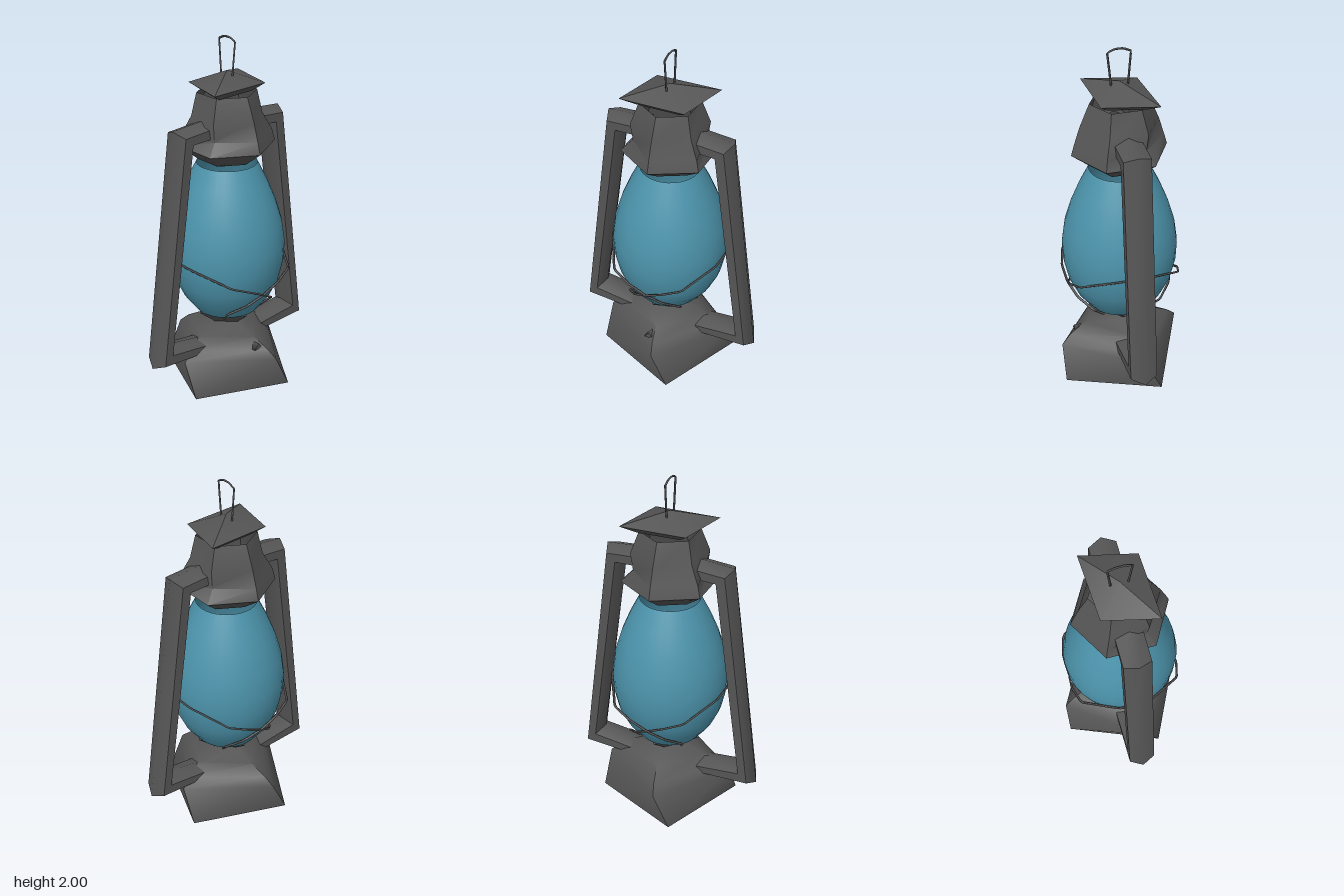
import * as THREE from 'three';
import { toCreasedNormals } from 'three/addons/utils/BufferGeometryUtils.js';

const metal = new THREE.MeshStandardMaterial({ color: 0x555555, side: THREE.DoubleSide });
const glass = new THREE.MeshStandardMaterial({ color: 0x4c93ab, side: THREE.DoubleSide });

// Horizontal ring of n corners; r may be a list of radii, a is the start angle in degrees
function ring(n, r, a, y) {
  return Array.from({ length: n }, (_, i) => {
    const t = THREE.MathUtils.degToRad(a) + (i * 2 * Math.PI) / n;
    const q = Array.isArray(r) ? r[i % r.length] : r;
    return [q * Math.cos(t), y, q * Math.sin(t)];
  });
}

// Skin between closed cross-sections with equal corner counts
function loft(rings, crease = 0.8) {
  const n = rings[0].length;
  const index = [];
  for (let i = 0; i < rings.length - 1; i++) {
    for (let j = 0; j < n; j++) {
      const k = (j + 1) % n;
      const a = i * n + j, b = i * n + k, c = a + n, d = b + n;
      index.push(a, c, b, b, c, d);
    }
  }
  const g = new THREE.BufferGeometry();
  g.setAttribute('position', new THREE.Float32BufferAttribute(rings.flat(2), 3));
  g.setIndex(index);
  return toCreasedNormals(g, crease);
}

// Thin angular wire through a list of points
function wire(points, radius) {
  const path = new THREE.CurvePath();
  const v = points.map((p) => new THREE.Vector3(...p));
  for (let i = 1; i < v.length; i++) path.add(new THREE.LineCurve3(v[i - 1], v[i]));
  return new THREE.TubeGeometry(path, (v.length - 1) * 6, radius, 4);
}

export function createModel() {
  const model = new THREE.Group();
  const add = (name, geometry, material = metal) => {
    const mesh = new THREE.Mesh(geometry, material);
    mesh.name = name;
    model.add(mesh);
    return mesh;
  };

  // Four-sided, slightly twisted fuel tank with a flared burner cup
  add('base', loft([
    ring(4, 0, 67, 0), ring(4, 0.393, 67, 0), ring(4, 0.365, 81, 0.19),
    ring(4, 0.31, 83, 0.24), ring(4, 0.22, 86, 0.29), ring(4, 0.09, 90, 0.34),
    ring(4, 0.19, 95, 0.42), ring(4, 0, 95, 0.42),
  ]));

  // Small triangular filler knob
  const knob = new THREE.CylinderGeometry(0.035, 0.035, 0.1, 3);
  knob.rotateX(-Math.PI / 2);
  knob.scale(1, 0.65, 1);
  add('knob', knob).position.set(0, 0.252, 0.225);

  // Open glass globe
  const profile = [[0.18, 0.425], [0.25, 0.515], [0.295, 0.61], [0.32, 0.72], [0.325, 0.83],
    [0.308, 0.95], [0.272, 1.07], [0.225, 1.185], [0.168, 1.3]];
  add('globe', new THREE.LatheGeometry(profile.map((p) => new THREE.Vector2(...p)), 32), glass);

  // Hexagonal chimney cap, drawn in above two skirt corners
  const mid = [0.205, 0.23, 0.225];
  add('chimney', loft([
    ring(6, 0, 30, 1.32), ring(6, 0.155, 30, 1.32), ring(6, 0.268, 30, 1.405),
    ring(6, [0.25, 0.25, 0.2], 30, 1.47), ring(6, mid.map((r) => r * 0.95), 30, 1.57),
    ring(6, 0.165, 30, 1.7),
  ]));

  // Four-cornered lid with a low peak
  const brim = [[0.15, 0.14], [-0.22, 0.158], [-0.15, -0.14], [0.22, -0.162]];
  const lidRing = (s, y) => brim.map(([x, z]) => [x * s, y, z * s]);
  add('lid', loft([lidRing(0, 1.7), lidRing(0.65, 1.7), lidRing(1, 1.745), lidRing(0, 1.812)], 0.5));

  // Hanging loop
  add('hangingLoop', wire([[0, 1.79, -0.047], [0, 1.975, -0.062], [0, 1.994, -0.02],
    [0, 1.994, 0.025], [0, 1.978, 0.065], [0, 1.79, 0.045]], 0.006));

  // Side arms: each section is an outer and inner point in the xy plane
  const sections = [[0.2, 0.19, 0.2, 0.28], [0.545, 0.2, 0.425, 0.315],
    [0.375, 1.55, 0.265, 1.45], [0.13, 1.57, 0.16, 1.45]];
  const hexagon = [[1, 0], [0.45, 1], [-0.45, 1], [-1, 0], [-0.45, -1], [0.45, -1]];
  const armGeometry = loft(sections.map(([ox, oy, ix, iy]) => hexagon.map(([h, w]) => [
    (ox + ix) / 2 + (h * (ox - ix)) / 2, (oy + iy) / 2 + (h * (oy - iy)) / 2, w * 0.076,
  ])), 1.1);
  add('leftArm', armGeometry);
  add('rightArm', armGeometry).rotation.y = Math.PI;

  // Guard wires crossing at the front and back of the globe
  for (const sx of [1, -1]) {
    for (const sz of [1, -1]) {
      const points = [[0.33, 0.77, 0], [0.325, 0.765, 0.09], [0.21, 0.69, 0.285], [0.1, 0.645, 0.315],
        [0, 0.595, 0.308], [-0.09, 0.54, 0.27], [-0.165, 0.485, 0.195], [-0.13, 0.42, 0.13]];
      add('guardWire', wire(points.map(([x, y, z]) => [x * sx, y, z * sz]), 0.007));
    }
  }
  return model;
}
